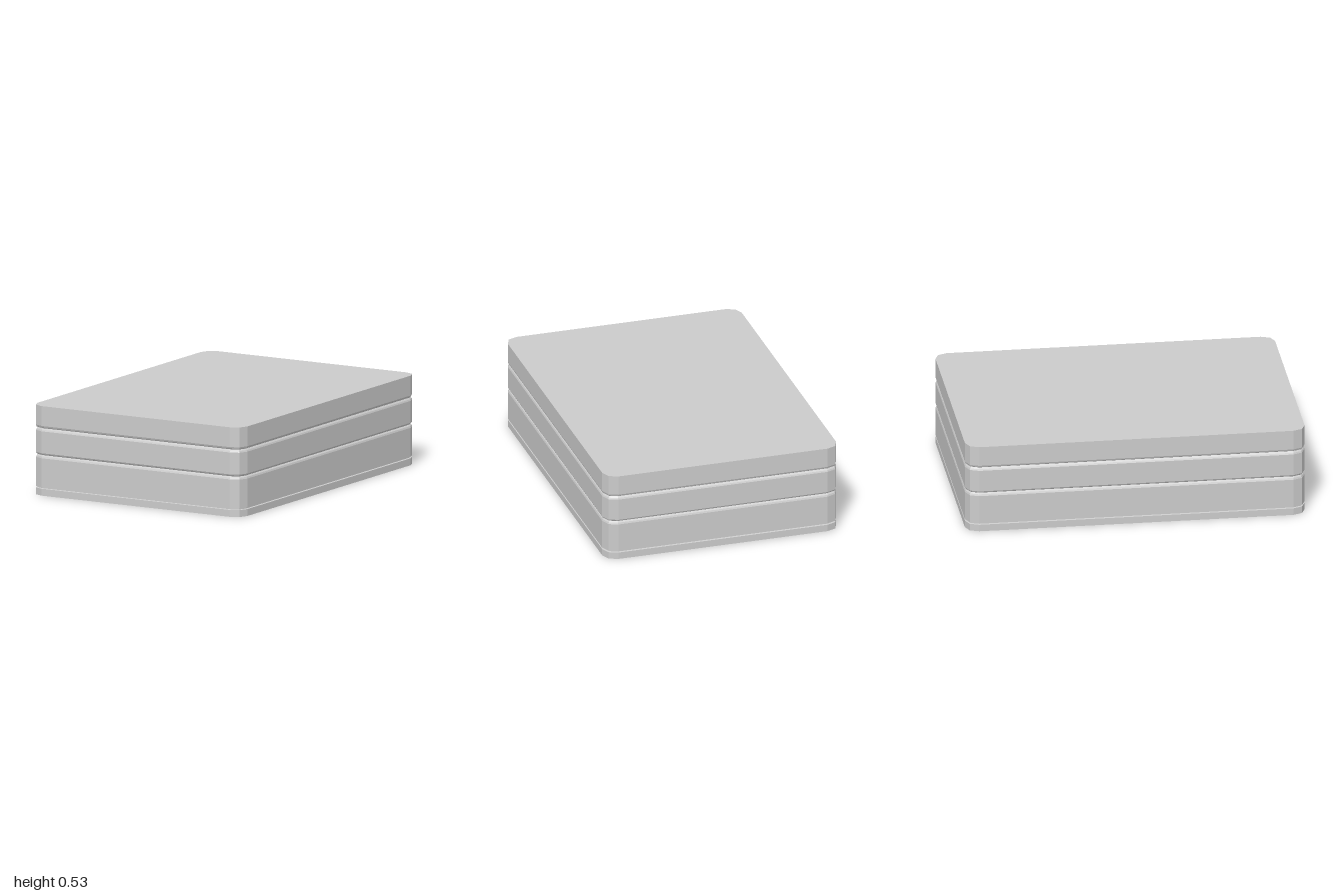
import * as THREE from 'three';

const HALF_X = 0.715, HALF_Z = 1, RADIUS = 0.075, CORNER_STEPS = 2;

// Rounded rectangle outline at height y, pulled in by inset
function ring(inset, y) {
  const points = [];
  const r = RADIUS - inset;
  const signs = [[1, 1], [-1, 1], [-1, -1], [1, -1]];
  signs.forEach(([sx, sz], corner) => {
    for (let s = 0; s <= CORNER_STEPS; s++) {
      const a = (corner + s / CORNER_STEPS) * Math.PI / 2;
      points.push([
        sx * (HALF_X - RADIUS) + r * Math.cos(a), y,
        sz * (HALF_Z - RADIUS) + r * Math.sin(a),
      ]);
    }
  });
  return points;
}

// Joins the [inset, y] outlines into a wall, with optional end caps
function loft(profile, capBottom, capTop) {
  const rings = profile.map(([inset, y]) => ring(inset, y));
  const n = rings[0].length;
  const pos = [];
  const tri = (a, b, c) => pos.push(...a, ...b, ...c);
  for (let k = 0; k < rings.length - 1; k++) {
    const lo = rings[k], hi = rings[k + 1];
    for (let i = 0; i < n; i++) {
      const j = (i + 1) % n;
      tri(lo[i], hi[i], lo[j]);
      tri(lo[j], hi[i], hi[j]);
    }
  }
  const first = rings[0], last = rings[rings.length - 1];
  for (let i = 0; i < n; i++) {
    const j = (i + 1) % n;
    if (capBottom) tri([0, first[0][1], 0], first[i], first[j]);
    if (capTop) tri([0, last[0][1], 0], last[j], last[i]);
  }
  const geometry = new THREE.BufferGeometry();
  geometry.setAttribute('position', new THREE.Float32BufferAttribute(pos, 3));
  geometry.computeVertexNormals();
  return geometry;
}

export function createModel() {
  const group = new THREE.Group();
  const material = new THREE.MeshStandardMaterial({ color: 0xcccccc, flatShading: true });
  const add = (name, profile, capBottom = false, capTop = false) => {
    const mesh = new THREE.Mesh(loft(profile, capBottom, capTop), material);
    mesh.name = name;
    group.add(mesh);
  };

  // Thin plate and the narrow seam above it
  add('basePlate', [[0, 0], [0, 0.041]], true);
  add('baseSeam', [[0, 0.041], [0.011, 0.043], [0.011, 0.048], [0, 0.05]]);

  // Stacked layers, meeting in bevelled grooves
  add('lowerLayer', [[0, 0.05], [0, 0.222], [0.004, 0.232], [0.013, 0.239]]);
  add('middleLayer', [[0.013, 0.239], [0.004, 0.244], [0, 0.252], [0, 0.382], [0.004, 0.391], [0.013, 0.399]]);
  add('lid', [[0.013, 0.399], [0.004, 0.404], [0, 0.414], [0, 0.532]], false, true);

  return group;
}
